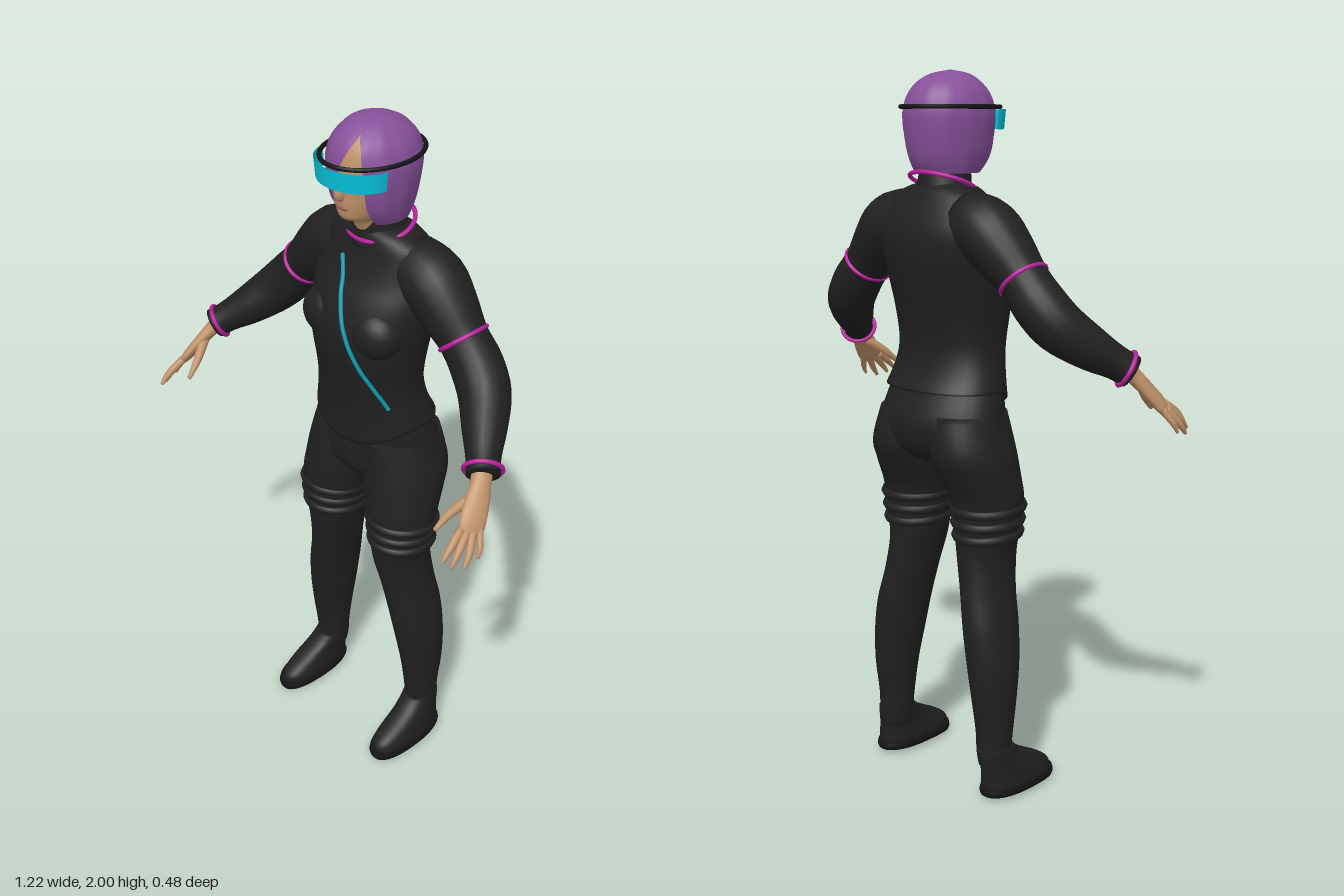
import * as THREE from 'three';

const V = (x, y, z) => new THREE.Vector3(x, y, z);
const paint = (name, color) => {
  const m = new THREE.MeshStandardMaterial({ color });
  m.name = name;
  return m;
};

// Catmull-Rom smoothing of rows of numbers, n steps between neighbours
function smooth(rows, n = 5) {
  const out = [], at = i => rows[Math.min(rows.length - 1, Math.max(0, i))];
  for (let k = 0; k <= (rows.length - 1) * n; k++) {
    const i = Math.min(rows.length - 2, Math.floor(k / n)), t = k / n - i;
    out.push(rows[0].map((_, c) => {
      const [a, b, d, e] = [at(i - 1)[c], at(i)[c], at(i + 1)[c], at(i + 2)[c]];
      return b + 0.5 * t * (d - a + t * (2 * a - 5 * b + 4 * d - e + t * (3 * (b - d) + e - a)));
    }));
  }
  return out;
}

// Skin over rings of points; closed rings are capped at both ends
function skin(rings, closed = true) {
  const m = rings[0].length, pos = [], idx = [];
  rings.forEach(r => r.forEach(p => pos.push(p.x, p.y, p.z)));
  for (let i = 0; i < rings.length - 1; i++)
    for (let j = 0; j < (closed ? m : m - 1); j++) {
      const k = (j + 1) % m, a = i * m + j, b = i * m + k;
      idx.push(a, b, b + m, a, b + m, a + m);
    }
  if (closed) [0, rings.length - 1].forEach(i => {
    const c = V(0, 0, 0), ci = pos.length / 3;
    rings[i].forEach(p => c.addScaledVector(p, 1 / m));
    pos.push(c.x, c.y, c.z);
    for (let j = 0; j < m; j++) {
      const a = i * m + j, b = i * m + (j + 1) % m;
      idx.push(ci, i ? a : b, i ? b : a);
    }
  });
  const g = new THREE.BufferGeometry();
  g.setAttribute('position', new THREE.Float32BufferAttribute(pos, 3));
  g.setIndex(idx);
  g.computeVertexNormals();
  return g;
}

const bend = (v, e) => Math.sign(v) * Math.abs(v) ** e;

// Upright body from rows [y, xMin, xMax, zFront, zBack, frontDrop]
function body(rows, e = 1, m = 36) {
  return skin(smooth(rows).map(([y, x0, x1, zf, zb, drop = 0]) =>
    Array.from({ length: m }, (_, j) => {
      const a = j / m * Math.PI * 2, s = Math.sin(a), c = Math.cos(a);
      return V((x0 + x1) / 2 + (x1 - x0) / 2 * bend(s, e), y - drop * Math.max(0, c) ** 2,
        (zf + zb) / 2 + (zf - zb) / 2 * bend(c, e));
    })));
}

// Symmetric rows [y, halfWidth, zFront, zBack, drop]
const even = rows => rows.map(([y, w, zf, zb, d = 0]) => [y, -w, w, zf, zb, d]);
// Rows for one side of the figure
const sided = (rows, s) => rows.map(([y, a, b, ...r]) => s > 0 ? [y, a, b, ...r] : [y, -b, -a, ...r]);

// Limb along a path from rows [x, y, z, radius, widening towards 'across']
function limb(rows, s, across = V(0, 0, 1), m = 20) {
  const side = across.clone().multiply(V(s, 1, 1)), R = smooth(rows, 4);
  const P = R.map(r => V(r[0] * s, r[1], r[2]));
  return skin(R.map((r, i) => {
    const t = P[Math.min(i + 1, P.length - 1)].clone().sub(P[Math.max(i - 1, 0)]).normalize();
    const v = side.clone().addScaledVector(t, -t.dot(side)).normalize(), u = v.clone().cross(t);
    return Array.from({ length: m }, (_, j) => {
      const a = j / m * Math.PI * 2;
      return P[i].clone().addScaledVector(u, r[3] * Math.cos(a)).addScaledVector(v, r[3] * (r[4] || 1) * Math.sin(a));
    });
  }));
}

// Elliptical hoop with half axes u and v
function hoop(c, u, v, tube) {
  const pts = Array.from({ length: 24 }, (_, i) => {
    const a = i / 24 * Math.PI * 2;
    return c.clone().addScaledVector(u, Math.cos(a)).addScaledVector(v, Math.sin(a));
  });
  return new THREE.TubeGeometry(new THREE.CatmullRomCurve3(pts, true), 60, tube, 8, true);
}

export function createModel() {
  const root = new THREE.Group();
  root.name = 'figure';
  const suit = paint('suit black', 0x202020), band = paint('band black', 0x141416);
  const flesh = paint('skin', 0xc0926a), lip = paint('lips', 0x9c6650);
  const purple = paint('hair purple', 0x87509a), cyan = paint('visor cyan', 0x06c3dc);
  const teal = paint('piping teal', 0x0899aa), pink = paint('trim magenta', 0xb8209c);
  purple.side = cyan.side = THREE.DoubleSide;
  const add = (name, geo, mat) => {
    const mesh = new THREE.Mesh(geo, mat);
    mesh.name = name;
    root.add(mesh);
    return mesh;
  };

  // Torso, hips and collar
  const E = 0.92;
  const torso = [
    [1.16, 0.188, 0.046, -0.218, 0.07], [1.2, 0.178, 0.044, -0.195, 0.04], [1.25, 0.166, 0.05, -0.182, 0.01],
    [1.3, 0.163, 0.06, -0.182], [1.38, 0.172, 0.073, -0.195], [1.45, 0.182, 0.071, -0.21],
    [1.52, 0.19, 0.048, -0.222], [1.58, 0.19, 0.014, -0.222], [1.63, 0.18, -0.006, -0.207],
    [1.67, 0.155, -0.015, -0.187], [1.695, 0.115, -0.02, -0.172], [1.71, 0.07, -0.03, -0.15]];
  add('torso', body(even(torso), E), suit);
  add('hips', body(even([[0.95, 0.1, 0.0, -0.15], [0.98, 0.185, 0.022, -0.2], [1.02, 0.211, 0.03, -0.226],
    [1.08, 0.2, 0.032, -0.234], [1.15, 0.185, 0.036, -0.208], [1.22, 0.16, 0.03, -0.18]])), suit);
  add('collar', body(even([[1.66, 0.085, -0.01, -0.17], [1.7, 0.076, -0.018, -0.164], [1.745, 0.068, -0.018, -0.155]])), suit);
  add('collarTrim', hoop(V(0, 1.708, -0.095), V(0.098, 0, 0), V(0, -0.031, 0.079), 0.006), pink);

  // Diagonal piping that follows the chest surface
  const fine = smooth(even(torso).map(r => [...r]), 10);
  const line = Array.from({ length: 16 }, (_, i) => {
    const t = i / 15, y = 1.625 - 0.395 * t, x = -0.045 + 0.185 * t;
    const [, , w, zf, zb] = fine.reduce((a, b) => Math.abs(b[0] - y) < Math.abs(a[0] - y) ? b : a);
    const s = (Math.abs(x) / w) ** (1 / E);
    return V(x, y, (zf + zb) / 2 + (zf - zb) / 2 * Math.sqrt(1 - s * s) ** E + 0.004);
  });
  add('chestPiping', new THREE.TubeGeometry(new THREE.CatmullRomCurve3(line), 60, 0.006, 6), teal);

  // Head with nose and mouth
  add('head', body(even([[1.7, 0.05, -0.02, -0.15], [1.735, 0.05, 0.0, -0.15], [1.75, 0.056, 0.036, -0.15],
    [1.78, 0.073, 0.044, -0.16], [1.82, 0.086, 0.047, -0.17], [1.88, 0.095, 0.047, -0.17],
    [1.94, 0.085, 0.03, -0.15], [1.975, 0.04, -0.01, -0.1]])), flesh);
  const nose = add('nose', new THREE.SphereGeometry(1, 16, 12), flesh);
  nose.scale.set(0.014, 0.026, 0.02);
  nose.position.set(0, 1.825, 0.045);
  const mouth = add('mouth', new THREE.SphereGeometry(1, 16, 10), lip);
  mouth.scale.set(0.022, 0.007, 0.006);
  mouth.position.set(0, 1.782, 0.041);

  // Hair shell: rows [y, halfWidth, zFront, zBack, opening start, opening end]
  const hair = [
    [1.735, 0.086, 0.005, -0.165, -0.78, 0.78], [1.765, 0.097, 0.035, -0.182, -0.74, 0.74],
    [1.8, 0.106, 0.05, -0.192, -0.62, 0.68], [1.86, 0.114, 0.058, -0.201, 0.0, 0.64],
    [1.9, 0.113, 0.058, -0.201, 0.1, 0.6], [1.94, 0.1, 0.045, -0.187, 0.25, 0.55],
    [1.97, 0.077, 0.018, -0.159, 0.42, 0.44], [1.99, 0.047, -0.015, -0.119, 0.43, 0.43], [2, 0.001, -0.064, -0.066, 0.43, 0.43]];
  add('hair', skin(smooth(hair).map(([y, w, zf, zb, a0, a1]) => Array.from({ length: 73 }, (_, j) => {
    const a = a1 + (Math.PI * 2 + a0 - a1) * j / 72, r = 1 + 0.008 * Math.sin(a * 13);
    return V(w * r * Math.sin(a), y, (zf + zb) / 2 + (zf - zb) / 2 * r * Math.cos(a));
  })), false), purple);

  // Visor and headband
  const visor = new THREE.CylinderGeometry(0.116, 0.111, 0.052, 40, 1, true, -1.5, 3);
  visor.scale(1, 1, 0.86);
  add('visor', visor, cyan).position.set(0, 1.873, -0.01);
  add('headband', hoop(V(0, 1.905, -0.065), V(0.116, 0, 0), V(0, 0, 0.147), 0.006), band);

  for (const s of [1, -1]) {
    const n = s > 0 ? 'left' : 'right';
    const sv = (x, y, z) => V(x * s, y, z);

    // Bust
    const bust = add(n + 'Bust', new THREE.SphereGeometry(1, 24, 16), suit);
    bust.scale.set(0.08, 0.075, 0.07);
    bust.position.set(s * 0.088, 1.445, 0.001);

    // Sleeve with magenta trims
    add(n + 'Sleeve', limb([[0.1, 1.615, -0.11, 0.08], [0.175, 1.588, -0.11, 0.09], [0.24, 1.53, -0.106, 0.08],
      [0.295, 1.474, -0.103, 0.067], [0.345, 1.418, -0.101, 0.07], [0.395, 1.362, -0.08, 0.069],
      [0.45, 1.307, -0.022, 0.058], [0.495, 1.268, 0.03, 0.045], [0.522, 1.244, 0.06, 0.044]], s), suit);
    add(n + 'ArmTrim', hoop(sv(0.295, 1.474, -0.103), sv(0.048, 0.043, 0), V(0, 0, 0.068), 0.006), pink);
    add(n + 'CuffTrim', hoop(sv(0.513, 1.252, 0.05), sv(0.029, 0.036, 0), sv(-0.026, 0.02, 0.038), 0.006), pink);

    // Hand
    const across = V(-0.42, 0.1, 0.9);
    add(n + 'Palm', limb([[0.505, 1.258, 0.042, 0.028, 1.1], [0.525, 1.23, 0.07, 0.021, 1.3],
      [0.545, 1.19, 0.105, 0.017, 2], [0.56, 1.155, 0.135, 0.015, 2.4], [0.57, 1.133, 0.152, 0.009, 3]], s, across), flesh);
    const fingers = {
      Thumb: [[0.532, 1.205, 0.095, 0.015], [0.502, 1.165, 0.15, 0.012], [0.49, 1.125, 0.195, 0.006]],
      Index: [[0.552, 1.15, 0.168, 0.011], [0.56, 1.12, 0.212, 0.01], [0.562, 1.093, 0.242, 0.005]],
      Middle: [[0.563, 1.143, 0.158, 0.011], [0.577, 1.108, 0.202, 0.01], [0.581, 1.078, 0.23, 0.005]],
      Ring: [[0.57, 1.14, 0.145, 0.011], [0.592, 1.1, 0.178, 0.0095], [0.598, 1.07, 0.202, 0.005]],
      Little: [[0.576, 1.14, 0.125, 0.01], [0.598, 1.105, 0.145, 0.008], [0.603, 1.08, 0.158, 0.004]]
    };
    for (const f in fingers) add(n + f + 'Finger', limb(fingers[f], s, across, 10), flesh);

    // Leg
    add(n + 'Leg', body(sided([[0.1, 0.158, 0.244, -0.05, -0.15], [0.14, 0.153, 0.246, -0.05, -0.155],
      [0.2, 0.148, 0.25, -0.045, -0.156], [0.3, 0.138, 0.256, -0.03, -0.17], [0.4, 0.12, 0.256, -0.015, -0.176],
      [0.5, 0.105, 0.241, 0, -0.178], [0.6, 0.085, 0.218, 0.012, -0.167], [0.7, 0.062, 0.207, 0.03, -0.16],
      [0.78, 0.045, 0.225, 0.036, -0.16], [0.86, 0.028, 0.236, 0.04, -0.166], [0.93, 0.01, 0.231, 0.037, -0.2],
      [1.0, 0.0, 0.222, 0.03, -0.227], [1.1, 0.0, 0.19, 0.02, -0.215]], s)), suit);

    // Thigh straps
    [0.835, 0.797, 0.76].forEach((y, i) => add(n + 'ThighStrap',
      hoop(sv(0.136, y, -0.062), V(0.094 - i * 0.005, 0, 0), V(0, 0.006, 0.096 - i * 0.002), 0.014), suit));

    // Shoe
    add(n + 'Shoe', body(sided([[0.025, 0.157, 0.268, 0.11, -0.15], [0.05, 0.157, 0.264, 0.104, -0.152],
      [0.075, 0.16, 0.26, 0.072, -0.152], [0.1, 0.161, 0.255, 0.025, -0.152], [0.125, 0.157, 0.251, -0.018, -0.155],
      [0.15, 0.155, 0.248, -0.045, -0.156]], s), 0.9), suit);
    add(n + 'Sole', body(sided([[0.014, 0.153, 0.272, 0.115, -0.153, 0.012], [0.024, 0.15, 0.275, 0.119, -0.156, 0.01],
      [0.036, 0.153, 0.272, 0.116, -0.154, 0.006]], s), 0.88), band);
  }
  return root;
}
